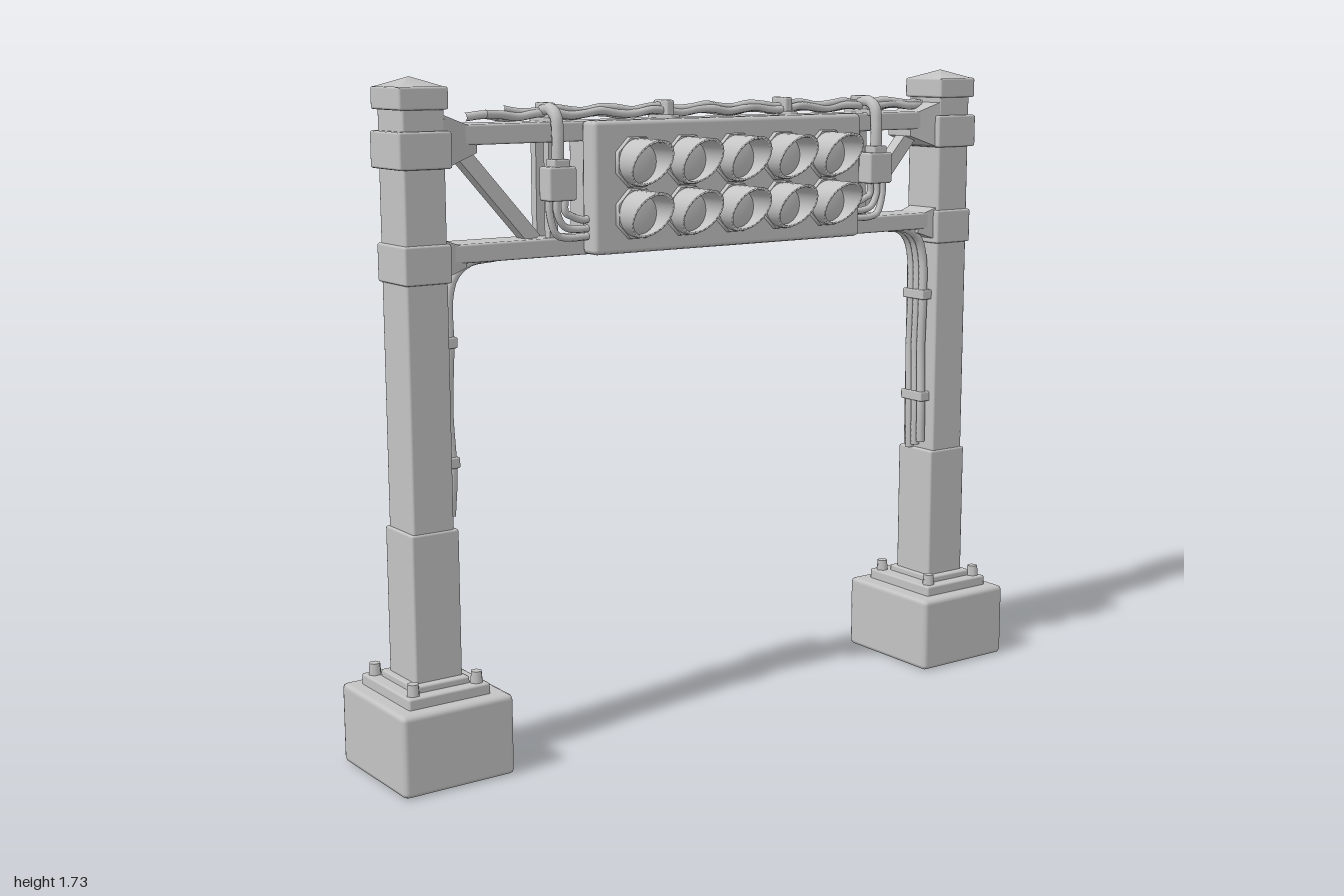
import * as THREE from 'three';
import { RoundedBoxGeometry } from 'three/addons/geometries/RoundedBoxGeometry.js';

export function createModel() {
  const model = new THREE.Group();
  model.name = 'signalGantry';
  const grey = new THREE.MeshStandardMaterial({ color: 0xc4c4c4 });
  grey.name = 'paleGrey';

  const add = (name, geometry, parent = model) => {
    const mesh = new THREE.Mesh(geometry, grey);
    mesh.name = name;
    parent.add(mesh);
    return mesh;
  };
  // Softened box given by its extents on each axis
  const block = (name, [x0, x1], [y0, y1], [z0, z1], parent, r = 0.006) => {
    const m = add(name, new RoundedBoxGeometry(x1 - x0, y1 - y0, z1 - z0, 1, r), parent);
    m.position.set((x0 + x1) / 2, (y0 + y1) / 2, (z0 + z1) / 2);
    return m;
  };
  const pipe = (name, points, radius, parent, segments = 32) => {
    const curve = new THREE.CatmullRomCurve3(points.map(p => new THREE.Vector3(...p)), false, 'centripetal');
    return add(name, new THREE.TubeGeometry(curve, segments, radius, 8), parent);
  };
  // Square bar between two points in the plane of the truss
  const bar = (name, x, [y0, z0], [y1, z1], w, parent) => {
    const m = add(name, new THREE.BoxGeometry(w, w, Math.hypot(y1 - y0, z1 - z0)), parent);
    m.position.set(x, (y0 + y1) / 2, (z0 + z1) / 2);
    m.rotation.x = -Math.atan2(y1 - y0, z1 - z0);
    return m;
  };
  // Box whose far end, along z, is scaled down
  const flare = (name, size, pos, sx, sy, dir, parent) => {
    const g = new THREE.BoxGeometry(...size);
    const p = g.attributes.position;
    for (let i = 0; i < p.count; i++) {
      if (p.getZ(i) * dir < 0) p.setXY(i, p.getX(i) * sx, p.getY(i) * sy);
    }
    g.computeVertexNormals();
    add(name, g, parent).position.set(...pos);
  };

  // Posts with footings, collars, caps, braces and conduits
  for (const s of [1, -1]) {
    const side = new THREE.Group();
    side.name = s > 0 ? 'leftPost' : 'rightPost';
    model.add(side);
    const zr = (a, b) => (s > 0 ? [a, b] : [-b, -a]);
    block('footing', [-0.2, 0.14], [0, 0.21], zr(0.69, 1), side, 0.014);
    block('basePlate', [-0.16, 0.1], [0.205, 0.238], zr(0.735, 0.962), side);
    block('baseStep', [-0.115, 0.068], [0.23, 0.255], zr(0.775, 0.93), side);
    for (const x of [-0.133, 0.073]) {
      for (const z of [0.76, 0.937]) {
        add('anchorBolt', new THREE.CylinderGeometry(0.015, 0.018, 0.035, 6), side)
          .position.set(x, 0.25, s * z);
      }
    }
    block('lowerSleeve', [-0.095, 0.047], [0.23, 0.63], zr(0.784, 0.915), side);
    block('postShaft', [-0.088, 0.042], [0.6, 1.7], zr(0.795, 0.908), side);
    block('lowerCollar', [-0.096, 0.05], [1.24, 1.335], zr(0.787, 0.915), side);
    block('upperCollar', [-0.1, 0.054], [1.515, 1.605], zr(0.782, 0.924), side);
    block('capBand', [-0.099, 0.052], [1.655, 1.71], zr(0.788, 0.92), side);
    const cap = add('capRoof', new THREE.ConeGeometry(Math.SQRT1_2, 0.026, 4).rotateY(Math.PI / 4), side);
    cap.scale.set(0.148, 1, 0.129);
    cap.position.set(-0.0235, 1.72, s * 0.854);

    // Flared joints between post and beams
    flare('upperGusset', [0.125, 0.13, 0.1], [-0.022, 1.578, s * 0.75], 0.75, 0.45, s, side);
    flare('lowerGusset', [0.11, 0.09, 0.06], [-0.022, 1.297, s * 0.765], 0.88, 0.55, s, side);

    // Diagonal and upright truss members
    bar('diagonalBrace', -0.02, [1.57, s * 0.745], [1.325, s * 0.525], 0.038, side);
    for (const x of [-0.05, 0.012]) {
      bar('upright', x, [1.31, s * 0.505 - 0.02], [1.58, s * 0.505 - 0.02], 0.024, side);
    }

    // Conduits down the inner face of the post
    [-0.046, -0.022, 0.002].forEach((x, i) => {
      const end = 0.63 + i * 0.012;
      pipe('postConduit', [[x, end, s * 0.782], [x + 0.004, 0.76, s * 0.777], [x - 0.004, 0.92, s * 0.78],
        [x + 0.003, 1.08, s * 0.777], [x, 1.2, s * 0.775], [x, 1.252, s * 0.757],
        [x, 1.283, s * 0.715], [x, 1.292, s * 0.64]], 0.0125, side, 40);
    });
    for (const y of [0.79, 1.09]) {
      block('conduitClamp', [-0.066, 0.022], [y - 0.014, y + 0.014], zr(0.762, 0.8), side, 0.004);
    }

    // Junction box fed from the cable tray, wired to the signal panel
    const zc = -0.03 + s * 0.518;
    const edge = -0.03 + s * 0.42;
    block('junctionBox', [0.025, 0.078], [1.425, 1.51], [zc - 0.04, zc + 0.04], side);
    pipe('feedConduit', [[-0.015, 1.645, zc], [0.02, 1.65, zc], [0.045, 1.632, zc],
      [0.052, 1.59, zc], [0.052, 1.5, zc]], 0.016, side, 20);
    block('feedCoupling', [0.03, 0.074], [1.505, 1.528], [zc - 0.023, zc + 0.023], side, 0.004);
    for (const [dz, drop] of [[-0.02, 1.375], [0.004, 1.352], [0.026, 1.332]]) {
      const z = zc + s * dz;
      pipe('panelCable', [[0.052, 1.44, z], [0.052, 1.395, z], [0.052, drop + 0.01, z - s * 0.018],
        [0.052, drop, z - s * 0.045], [0.052, drop, edge]], 0.0095, side, 20);
    }
  }

  // Main beams
  block('topBeam', [-0.072, 0.03], [1.568, 1.618], [-0.8, 0.8]);
  block('bottomBeam', [-0.072, 0.03], [1.283, 1.33], [-0.8, 0.8]);

  // Signal panel and its recessed backing
  block('panelBacking', [-0.045, 0.04], [1.3, 1.6], [-0.455, 0.395]);
  block('signalPanel', [0.025, 0.088], [1.285, 1.62], [-0.463, 0.403], model, 0.012);

  // Hooded lamps: the rim is cut back towards the bottom
  const R = 0.06;
  const hoodGeometry = () => {
    const pts = [[R, 0], [R, 1], [R - 0.007, 1], [R - 0.009, 0]];
    const g = new THREE.LatheGeometry(pts.map(p => new THREE.Vector2(...p)), 28).toNonIndexed();
    g.rotateZ(-Math.PI / 2);
    const p = g.attributes.position;
    for (let i = 0; i < p.count; i++) {
      const t = (p.getY(i) + R) / (2 * R);
      p.setX(i, p.getX(i) * (0.022 + 0.086 * Math.pow(t, 0.8)));
    }
    return g;
  };
  const hood = hoodGeometry();
  const bezel = new THREE.CylinderGeometry(0.066, 0.07, 0.02, 8).rotateY(Math.PI / 8).rotateZ(-Math.PI / 2);
  const lens = new THREE.SphereGeometry(R - 0.006, 20, 6, 0, Math.PI * 2, 0, Math.PI / 2)
    .scale(1, 0.2, 1).rotateZ(-Math.PI / 2);
  for (const y of [1.515, 1.385]) {
    for (let i = 0; i < 5; i++) {
      const lamp = new THREE.Group();
      lamp.name = 'signalLamp';
      lamp.position.set(0.09, y, 0.278 - i * 0.155);
      model.add(lamp);
      add('lampBezel', bezel, lamp);
      add('lampHood', hood, lamp);
      add('lampLens', lens, lamp).position.x = 0.009;
    }
  }

  // Loose cables running along the top beam
  [[-0.03, 1.633, 0.7], [-0.008, 1.636, 0.66], [-0.018, 1.645, 0.6]].forEach(([x, y, start], k) => {
    const points = [];
    for (let i = 0; i <= 28; i++) {
      const z = start - (start + 0.72) * i / 28;
      points.push([x + 0.005 * Math.sin(i * 1.3 + k * 2), y + 0.005 * Math.sin(i * 1.9 + k), z]);
    }
    points.push([x - 0.018, y - 0.004, -0.77], [x - 0.025, y - 0.01, -0.81]);
    pipe('topCable', points, 0.0105, model, 110);
  });
  for (const z of [0.48, 0.12, -0.27, -0.55]) {
    block('cableClamp', [-0.074, 0.036], [1.61, 1.628], [z - 0.014, z + 0.014], model, 0.004);
    block('cableStrap', [-0.05, 0.014], [1.62, 1.665], [z - 0.012, z + 0.012], model, 0.005);
  }
  return model;
}
